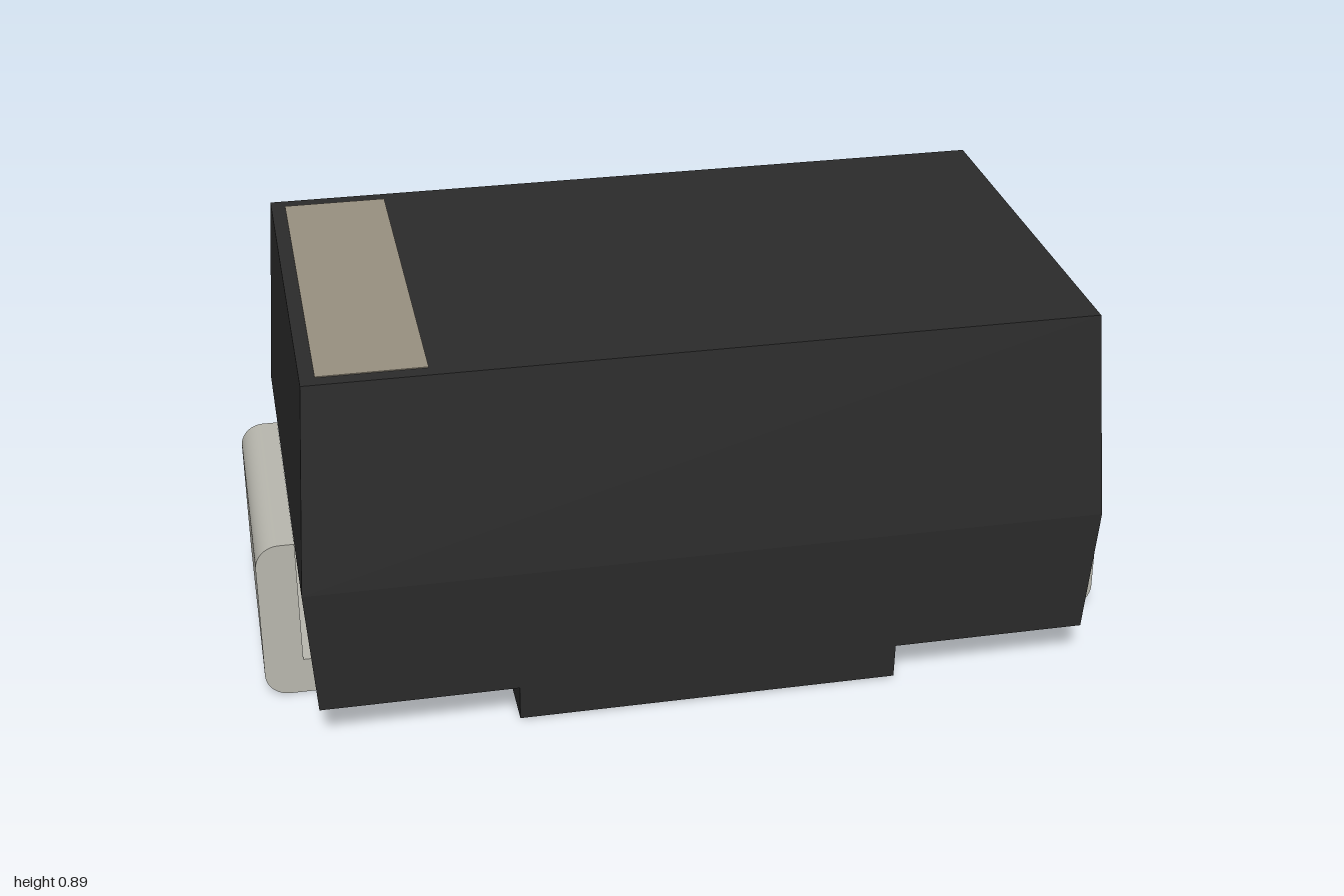
import * as THREE from 'three';

const bodyMat = new THREE.MeshStandardMaterial({ color: 0x2b2b2b, flatShading: true });
const metalMat = new THREE.MeshStandardMaterial({ color: 0xb9b8af });
const bandMat = new THREE.MeshStandardMaterial({ color: 0x999181 });

// Capped solid through rectangular sections [y, halfX, halfZ], listed bottom to top
function rectLoft(sections) {
  const pos = [], idx = [];
  for (const [y, x, z] of sections) pos.push(-x, y, z, x, y, z, x, y, -z, -x, y, -z);
  for (let s = 0; s < sections.length - 1; s++) {
    for (let i = 0; i < 4; i++) {
      const a = s * 4 + i, b = s * 4 + (i + 1) % 4;
      idx.push(a, b, b + 4, a, b + 4, a + 4);
    }
  }
  const t = (sections.length - 1) * 4;
  idx.push(0, 2, 1, 0, 3, 2, t, t + 1, t + 2, t, t + 2, t + 3);
  const indexed = new THREE.BufferGeometry();
  indexed.setAttribute('position', new THREE.Float32BufferAttribute(pos, 3));
  indexed.setIndex(idx);
  const geo = indexed.toNonIndexed();
  geo.computeVertexNormals();
  return geo;
}

// L-shaped strip with rounded outer corners, smooth round the bends
function leadGeometry() {
  const r = 0.055, width = 0.6;
  const s = new THREE.Shape();
  s.moveTo(0.45, 0);
  s.lineTo(1 - r, 0);
  s.absarc(1 - r, r, r, -Math.PI / 2, 0);
  s.lineTo(1, 0.395 - r);
  s.absarc(1 - r, 0.395 - r, r, 0, Math.PI / 2);
  s.lineTo(0.91, 0.395);
  s.lineTo(0.91, 0.088);
  s.lineTo(0.45, 0.088);
  s.closePath();
  const geo = new THREE.ExtrudeGeometry(s, { depth: width, bevelEnabled: false, curveSegments: 10 });
  geo.translate(0, 0, -width / 2);
  // Radial normals on the side vertices lying on a bend
  const p = geo.attributes.position, n = geo.attributes.normal;
  for (let i = 0; i < p.count; i++) {
    if (Math.abs(n.getZ(i)) > 0.5) continue;
    const dx = p.getX(i) - (1 - r);
    const cy = p.getY(i) < 0.2 ? r : 0.395 - r;
    const dy = p.getY(i) - cy;
    if (dx > -1e-4 && Math.abs(Math.hypot(dx, dy) - r) < 1e-4) n.setXYZ(i, dx / r, dy / r, 0);
  }
  return geo;
}

export function createModel() {
  const model = new THREE.Group();
  const add = (name, geo, mat) => {
    const mesh = new THREE.Mesh(geo, mat);
    mesh.name = name;
    model.add(mesh);
    return mesh;
  };

  // Moulded body, widest at the parting line
  add('body', rectLoft([[0.09, 0.89, 0.518], [0.4, 0.91, 0.538], [0.89, 0.878, 0.505]]), bodyMat);
  // Raised pad between the two leads
  add('centrePad', rectLoft([[0.004, 0.44, 0.512], [0.09, 0.44, 0.518]]), bodyMat);

  // Polarity band printed on the top
  const band = new THREE.BoxGeometry(0.24, 0.004, 0.94);
  add('polarityBand', band, bandMat).position.set(-0.725, 0.89, 0);

  // Folded metal leads at both ends
  const lead = leadGeometry();
  add('leftLead', lead, metalMat);
  add('rightLead', lead, metalMat).rotation.y = Math.PI;
  return model;
}
